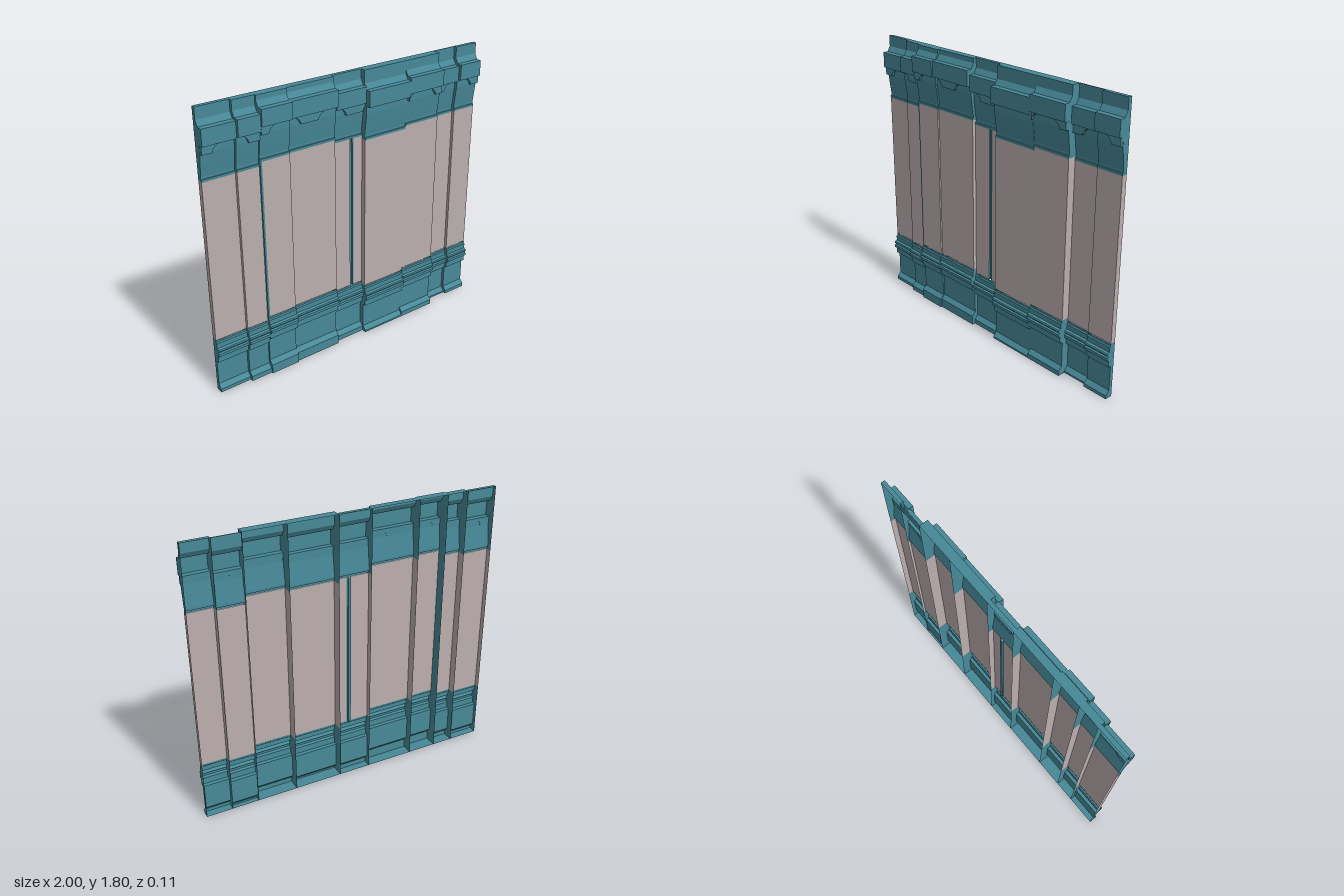
import * as THREE from 'three';

const TOP = 1.805, BACK = -0.058;
const teal = new THREE.MeshStandardMaterial({ color: 0x478998, side: THREE.DoubleSide, flatShading: true });
const plaster = new THREE.MeshStandardMaterial({ color: 0xbcaeae, side: THREE.DoubleSide, flatShading: true });

// Each bay: left edge, right edge, front plane of the panel, height shift of the mouldings
const bays = [
  [-1, -0.795, -0.022, 0], [-0.795, -0.655, -0.002, 0.01], [-0.655, -0.46, 0.01, 0.04],
  [-0.46, -0.14, 0, 0.04], [-0.14, 0.075, -0.022, 0.01], [0.075, 0.39, 0.01, -0.01],
  [0.39, 0.655, 0.01, 0.01], [0.655, 0.83, -0.042, -0.01], [0.83, 1, -0.022, 0],
];

// Moulding profiles as [z from panel front, y], listed from top to bottom
const cornice = [
  [-0.01, 1.735], [0.01, 1.702], [0.043, 1.70], [0.043, 1.60], [0.012, 1.60], [0.011, 1.55],
  [0.004, 1.49], [-0.006, 1.415], [-0.006, 1.40], [0.002, 1.40], [0.002, 1.385],
];
const base = [
  [0.002, 0.37], [0.002, 0.357], [0.009, 0.35], [0.009, 0.318], [0.024, 0.312], [0.028, 0.304],
  [0.024, 0.296], [0.015, 0.29], [0.027, 0.284], [0.027, 0.266], [0.011, 0.26],
  [0.011, 0.218], [-0.01, 0.215], [-0.01, 0.05], [0.015, 0.022],
];

// Sweeps a [z, y] profile straight along x
function ribbon(pts, x0, x1) {
  const pos = [];
  for (let i = 0; i < pts.length - 1; i++) {
    const [za, ya] = pts[i], [zb, yb] = pts[i + 1];
    pos.push(x0, ya, za, x0, yb, zb, x1, yb, zb, x0, ya, za, x1, yb, zb, x1, ya, za);
  }
  const g = new THREE.BufferGeometry();
  g.setAttribute('position', new THREE.Float32BufferAttribute(pos, 3));
  g.computeVertexNormals();
  return g;
}

// Flat end cheek filling the profile back to the rear plane
function cheek(pts, x) {
  const outline = [...pts];
  if (pts[0][0] !== BACK) outline.unshift([BACK, pts[0][1]]);
  if (pts[pts.length - 1][0] !== BACK) outline.push([BACK, pts[pts.length - 1][1]]);
  const g = new THREE.ShapeGeometry(new THREE.Shape(outline.map(([z, y]) => new THREE.Vector2(-z, y))));
  return g.rotateY(Math.PI / 2).translate(x, 0, 0);
}

// Drop of the hanging corbels below the cornice: zero inside each arch, full between arches
function corbelDrop(x) {
  const period = 0.332;
  const d = Math.abs(x - (Math.floor(x / period) + 0.5) * period);
  if (d < 0.04) return 0.001;
  if (d > 0.105) return 0.05;
  return 0.001 + 0.049 * (1 - Math.sqrt(1 - ((d - 0.04) / 0.065) ** 2));
}

function corbels(x0, x1, z, y) {
  const s = new THREE.Shape();
  const n = Math.ceil((x1 - x0) / 0.008);
  s.moveTo(x1, y);
  s.lineTo(x0, y);
  for (let i = 0; i <= n; i++) {
    const x = x0 + (x1 - x0) * i / n;
    s.lineTo(x, y - corbelDrop(x));
  }
  return new THREE.ExtrudeGeometry(s, { depth: 0.022, bevelEnabled: false }).translate(0, 0, z);
}

export function createModel() {
  const model = new THREE.Group();
  model.name = 'wallPanelling';
  const add = (parent, name, geometry, material) => {
    const m = new THREE.Mesh(geometry, material);
    m.name = name;
    parent.add(m);
  };

  bays.forEach(([x0, x1, front, dy], i) => {
    const bay = new THREE.Group();
    bay.name = 'bay' + (i + 1);
    model.add(bay);
    const place = (pts) => pts.map(([z, y]) => [z + front, y + dy]);

    // Mouldings shift with the bay, while the outer top and bottom edges stay level
    const upper = [[BACK, TOP], [front - 0.01, TOP], ...place(cornice)];
    const lower = [...place(base), [front + 0.015, 0], [BACK, 0]];
    const panel = place([[0, 1.385], [0, 0.37]]);

    for (const [name, pts, mat] of [['cornice', upper, teal], ['skirting', lower, teal]]) {
      add(bay, name, ribbon(pts, x0, x1), mat);
      for (const x of [x0 + 0.001, x1 - 0.001]) add(bay, name + 'Cheek', cheek(pts, x), mat);
    }

    // Open-backed panel, one of them split by a narrow groove
    const spans = i === 4 ? [[x0, -0.015], [0.012, x1]] : [[x0, x1]];
    for (const [a, b] of spans) add(bay, 'panel', ribbon(panel, a, b), plaster);
    for (const x of [x0 + 0.001, x1 - 0.001]) {
      const painted = i === 2 && x < -0.6;
      add(bay, 'panelCheek', cheek(panel, x), painted ? teal : plaster);
    }
    if (i === 2) { // trim along the exposed edge
      add(bay, 'edgeTrim', ribbon(panel.map(([z, y]) => [z + 0.001, y]), x0, x0 + 0.011), teal);
    }
    if (i === 4) { // stepped groove
      const at = (dz) => panel.map(([z, y]) => [z + dz, y]);
      add(bay, 'grooveFloor', ribbon(at(-0.01), -0.015, 0.002), teal);
      add(bay, 'grooveLip', ribbon(at(0), 0.002, 0.012), teal);
      for (const x of [-0.015, 0.002]) {
        const [[z, yt], [, yb]] = panel;
        const side = new THREE.PlaneGeometry(0.01, yt - yb).rotateY(Math.PI / 2);
        add(bay, 'grooveSide', side.translate(x, (yt + yb) / 2, z - 0.005), teal);
      }
    }

    // Corbels hanging under the cornice
    if (i !== 5) add(bay, 'corbels', corbels(x0 + 0.001, x1 - 0.001, front + 0.008, 1.60 + dy), teal);
  });

  return model;
}
